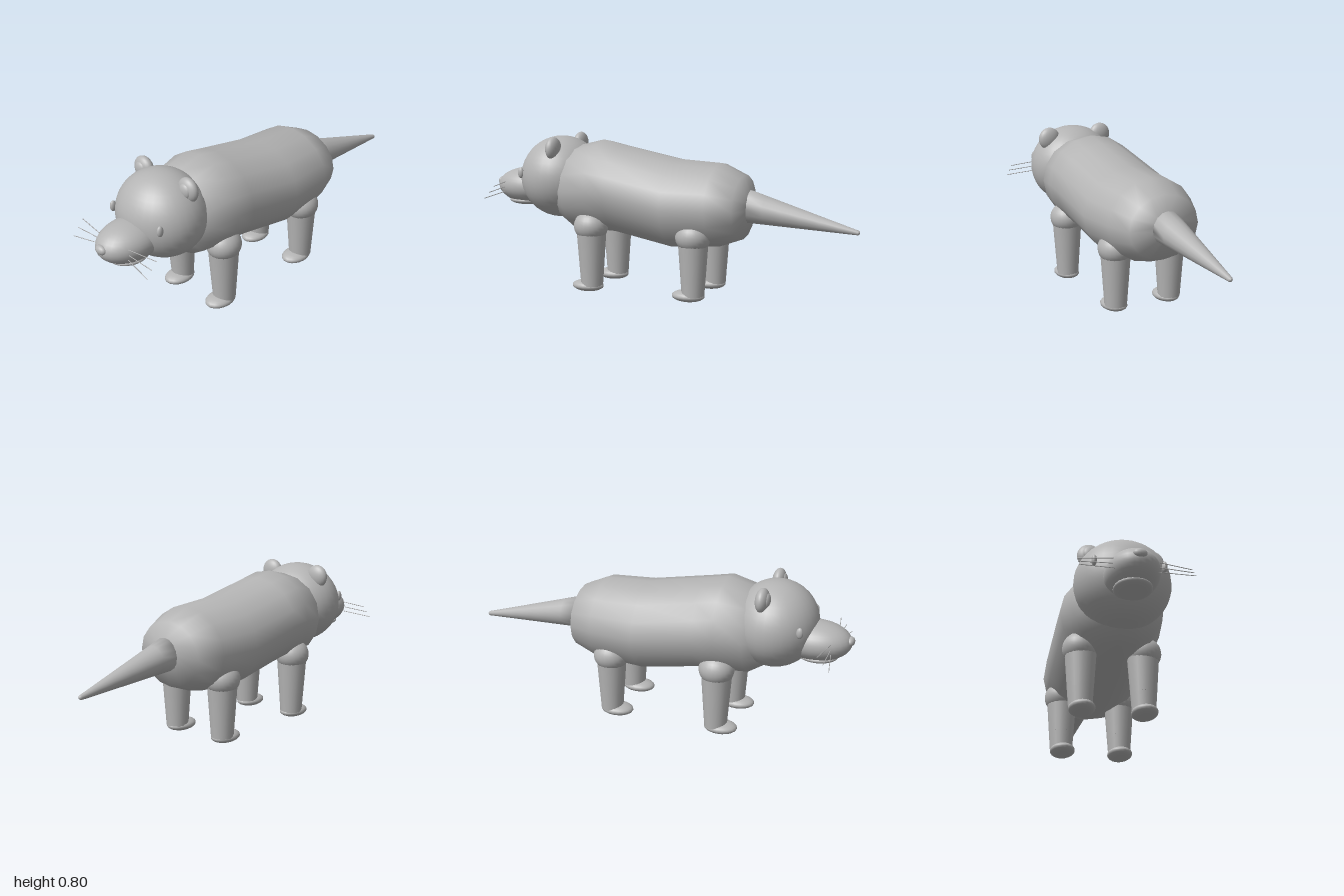
import * as THREE from 'three';

const fur = new THREE.MeshStandardMaterial({ color: 0xb4b4b4 });
fur.name = 'plain grey';

export function createModel() {
  const model = new THREE.Group();
  model.name = 'animal';

  const add = (name, geometry, x = 0, y = 0, z = 0) => {
    const mesh = new THREE.Mesh(geometry, fur);
    mesh.name = name;
    mesh.position.set(x, y, z);
    model.add(mesh);
    return mesh;
  };

  const ellipsoid = (name, x, y, z, rx, ry, rz, seg = 24) =>
    add(name, new THREE.SphereGeometry(1, seg, Math.round(seg * 0.7)).scale(rx, ry, rz), x, y, z);

  // Skin over elliptical rings [z, bottom, top, half width], from back to front, closed at both ends
  const loft = (rings, sides) => {
    const pos = [], index = [];
    for (const [z, lo, hi, rx] of rings) {
      for (let i = 0; i < sides; i++) {
        const a = (i / sides) * Math.PI * 2;
        pos.push(Math.cos(a) * rx, (lo + hi) / 2 + Math.sin(a) * (hi - lo) / 2, z);
      }
    }
    for (let r = 0; r < rings.length - 1; r++) {
      for (let i = 0; i < sides; i++) {
        const a = r * sides + i, b = r * sides + (i + 1) % sides;
        index.push(a, b, b + sides, a, b + sides, a + sides);
      }
    }
    const last = (rings.length - 1) * sides;
    for (let i = 1; i < sides - 1; i++) {
      index.push(0, i + 1, i, last, last + i, last + i + 1);
    }
    const g = new THREE.BufferGeometry();
    g.setAttribute('position', new THREE.Float32BufferAttribute(pos, 3));
    g.setIndex(index);
    g.computeVertexNormals();
    return g;
  };

  // Long barrel body, higher at the shoulders
  add('body', loft([
    [-0.455, 0.43, 0.55, 0.075],
    [-0.415, 0.312, 0.635, 0.19],
    [-0.29, 0.265, 0.69, 0.24],
    [-0.06, 0.248, 0.70, 0.257],
    [0.25, 0.303, 0.757, 0.257],
    [0.36, 0.303, 0.78, 0.255],
    [0.5, 0.31, 0.745, 0.225],
    [0.6, 0.37, 0.66, 0.15],
    [0.65, 0.45, 0.58, 0.06],
  ], 16));

  // Tapering tail
  const tailRings = [];
  for (let i = 0; i <= 6; i++) {
    const t = i / 6;
    const y = 0.389 + 0.092 * t, r = 0.012 + 0.072 * t;
    tailRings.push([-0.992 + 0.552 * t, y - r, y + r, r]);
  }
  tailRings.unshift([-1, 0.383, 0.395, 0.006]);
  add('tail', loft(tailRings, 16));

  // Head and muzzle
  ellipsoid('head', 0, 0.575, 0.61, 0.232, 0.215, 0.212, 32);
  ellipsoid('muzzle', 0, 0.515, 0.81, 0.128, 0.097, 0.178, 28);
  ellipsoid('lowerJaw', 0, 0.437, 0.825, 0.09, 0.026, 0.1);
  ellipsoid('nose', 0, 0.53, 0.979, 0.033, 0.023, 0.021, 16);

  for (const s of [1, -1]) {
    const side = s > 0 ? 'left' : 'right';
    ellipsoid(side + 'Eye', s * 0.165, 0.603, 0.767, 0.013, 0.028, 0.017, 16);
    ellipsoid(side + 'Ear', s * 0.152, 0.737, 0.577, 0.06, 0.061, 0.034);
    ellipsoid(side + 'InnerEar', s * 0.153, 0.738, 0.598, 0.036, 0.039, 0.02, 16);

    // Whiskers: start height, tip height, tip z
    for (const [y0, y1, z1] of [[0.54, 0.537, 0.875], [0.513, 0.504, 0.905], [0.488, 0.471, 0.935]]) {
      const path = new THREE.LineCurve3(
        new THREE.Vector3(s * 0.09, y0, 0.905), new THREE.Vector3(s * 0.263, y1, z1));
      add(side + 'Whisker', new THREE.TubeGeometry(path, 1, 0.002, 6));
    }

    // Legs: joint, upper leg, lower leg and paw
    for (const [end, z, jointY, pawZ] of [['Front', 0.36, 0.35, 0.385], ['Rear', -0.205, 0.335, -0.178]]) {
      const leg = side + end;
      const x = s * 0.153;
      ellipsoid(leg + 'Joint', x + s * 0.003, jointY, z, 0.086, 0.08, 0.09);
      add(leg + 'UpperLeg', new THREE.CylinderGeometry(0.078, 0.064, 0.2, 20), x, 0.235, z);
      add(leg + 'LowerLeg', new THREE.CylinderGeometry(0.064, 0.057, 0.1, 20), x, 0.087, z);
      ellipsoid(leg + 'Paw', s * 0.15, 0.033, pawZ, 0.064, 0.03, 0.086, 18);
    }
  }

  // Rest the paws on the ground
  const box = new THREE.Box3().setFromObject(model);
  model.children.forEach((m) => { m.position.y -= box.min.y; });
  return model;
}
